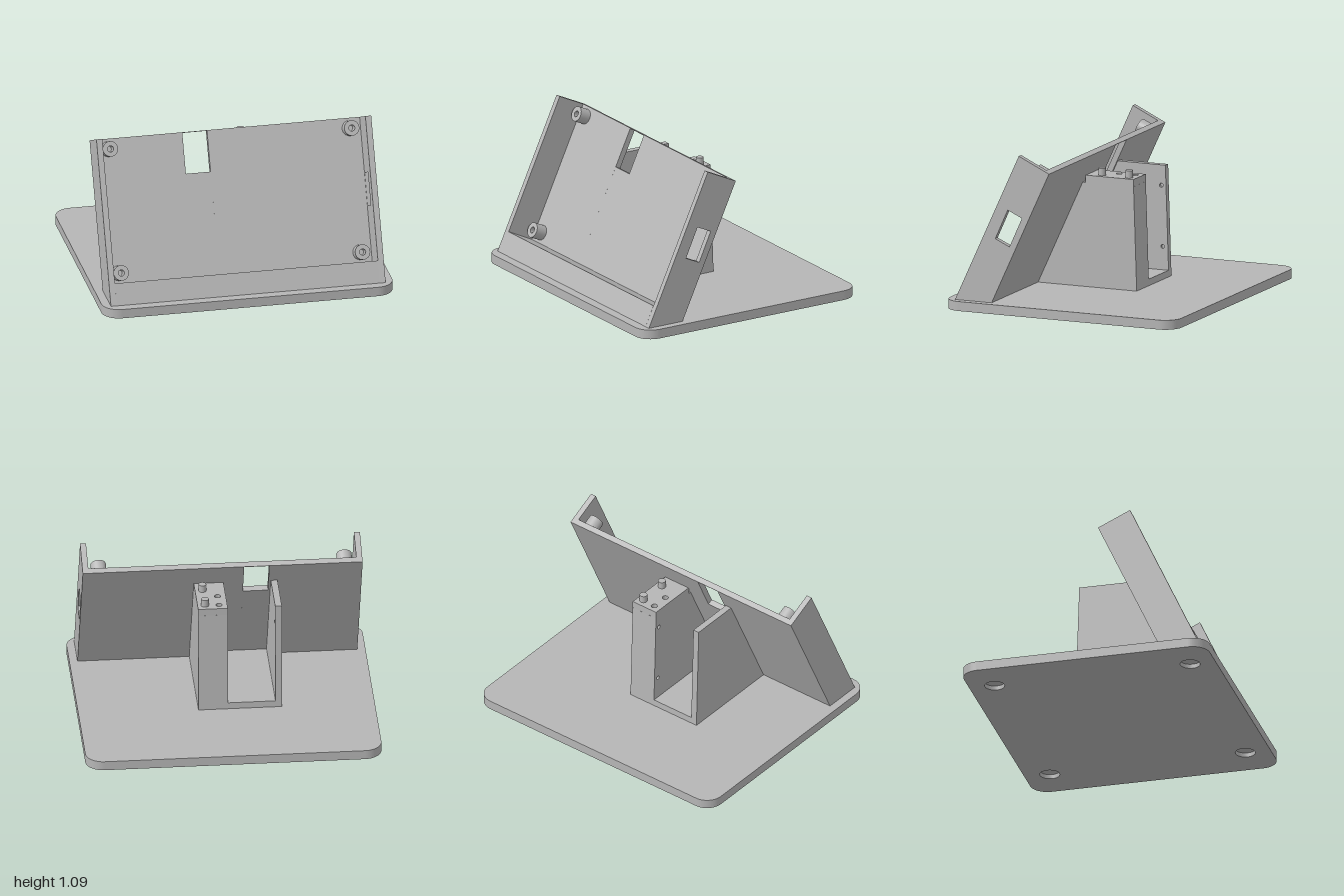
import * as THREE from 'three';
import { toCreasedNormals } from 'three/addons/utils/BufferGeometryUtils.js';

const grey = new THREE.MeshStandardMaterial({ color: 0xb6b6b6 });
grey.name = 'grey plastic';

const TILT = 0.43; // lean of the tray from vertical

function circle(x, y, r) {
  return new THREE.Path().absarc(x, y, r, 0, Math.PI * 2, true);
}

function polygon(points) {
  return new THREE.Shape(points.map(([x, y]) => new THREE.Vector2(x, y)));
}

function extrude(shape, depth, holes = []) {
  shape.holes.push(...holes);
  const g = new THREE.ExtrudeGeometry(shape, { depth, bevelEnabled: false, curveSegments: 16 });
  return toCreasedNormals(g, 0.6);
}

export function createModel() {
  const model = new THREE.Group();
  model.name = 'tiltedDisplayStand';

  const add = (name, geometry, parent = model) => {
    const mesh = new THREE.Mesh(geometry, grey);
    mesh.name = name;
    parent.add(mesh);
    return mesh;
  };

  // Side profile given as [z, y], swept from x0 to x1
  const sweep = (name, points, x0, x1, holes, parent) =>
    add(name, extrude(polygon(points), x1 - x0, holes).rotateY(-Math.PI / 2).translate(x1, 0, 0), parent);

  // Plan shape given as [x, -z], raised from y0 to y1
  const raise = (name, shape, y0, y1, holes, parent) =>
    add(name, extrude(shape, y1 - y0, holes).rotateX(-Math.PI / 2).translate(0, y0, 0), parent);

  // Base plate with four round foot recesses underneath
  const base = new THREE.Group();
  base.name = 'base';
  model.add(base);
  const plan = () => {
    const w = 1, d = 0.855, r = 0.12, s = new THREE.Shape();
    s.absarc(w - r, d - r, r, 0, Math.PI / 2);
    s.absarc(r - w, d - r, r, Math.PI / 2, Math.PI);
    s.absarc(r - w, r - d, r, Math.PI, Math.PI * 1.5);
    s.absarc(w - r, r - d, r, Math.PI * 1.5, Math.PI * 2);
    return s;
  };
  const feet = [];
  for (const x of [-0.73, 0.73]) for (const z of [-0.68, 0.68]) feet.push(circle(x, z, 0.068));
  raise('baseTop', plan(), 0.03, 0.065, [], base);
  raise('baseUnderside', plan(), 0, 0.03, feet, base);

  // Leaning tray: back panel with lower lip, split around the cable opening
  const tray = new THREE.Group();
  tray.name = 'tray';
  model.add(tray);
  const lower = [[0.52, 0.063], [0.79, 0.063], [0.727, 0.203], [0.54, 0.113]];
  const panel = [...lower, [0.131, 1.002], [0.095, 0.985]];
  const cutPanel = [...lower, [0.248, 0.747], [0.212, 0.73]];
  sweep('backPanelRight', panel, -0.905, -0.315, [], tray);
  sweep('backPanelBelowOpening', cutPanel, -0.315, -0.145, [], tray);
  sweep('backPanelLeft', panel, -0.145, 0.905, [], tray);
  sweep('openingBridge', [[0.131, 1.002], [0.095, 0.985], [0.097, 0.981], [0.133, 0.998]],
    -0.315, -0.145, [], tray);

  // Side walls, with a slot in the left one
  const wall = [[0.52, 0.063], [0.79, 0.063], [0.318, 1.09], [0.095, 0.985]];
  const slot = polygon([[0.4, 0.712], [0.295, 0.664], [0.387, 0.46], [0.492, 0.508]]);
  sweep('leftWall', wall, 0.905, 0.945, [slot], tray);
  sweep('rightWall', wall, -0.945, -0.905, [], tray);

  // Four hollow screw posts on the panel
  for (const x of [-0.83, 0.83]) {
    for (const [y, z] of [[0.938, 0.159], [0.177, 0.51]]) {
      const ring = new THREE.Shape().absarc(0, 0, 0.052, 0, Math.PI * 2);
      const post = add('screwPost', extrude(ring, 0.082, [circle(0, 0, 0.021)]), tray);
      post.position.set(x, y, z);
      post.rotation.x = -TILT;
    }
  }

  // Rear support: thick block and thin wall with a channel between them
  const support = new THREE.Group();
  support.name = 'rearSupport';
  model.add(support);
  const profile = (top) => {
    const back = -0.21 + (top - 0.065) * 0.0327;
    const front = 0.175 + (0.83 - top) * 0.462;
    return [[back, top], [-0.21, 0.063], [0.53, 0.063], [front, top]];
  };
  const screwHoles = () => [circle(-0.155, 0.69, 0.014), circle(-0.165, 0.27, 0.014)];
  sweep('thinWall', profile(0.83), -0.375, -0.35, [], support);
  sweep('thinWallInnerFace', profile(0.83), -0.35, -0.33, screwHoles(), support);
  sweep('channelFloor', profile(0.11), -0.33, -0.01, [], support);
  sweep('blockInnerFace', profile(0.78), -0.01, 0.02, screwHoles(), support);
  sweep('block', profile(0.78), 0.02, 0.19, [], support);

  // Block top with two blind holes and two locating pins
  raise('blockTop', polygon([[-0.01, -0.17], [0.19, -0.17], [0.19, 0.186], [-0.01, 0.186]]), 0.78, 0.83,
    [circle(0.045, 0.135, 0.021), circle(0.045, 0.015, 0.021)], support);
  for (const z of [-0.132, 0.068]) {
    add('locatingPin', new THREE.CylinderGeometry(0.026, 0.026, 0.06, 32), support).position.set(0.14, 0.85, z);
  }

  return model;
}
